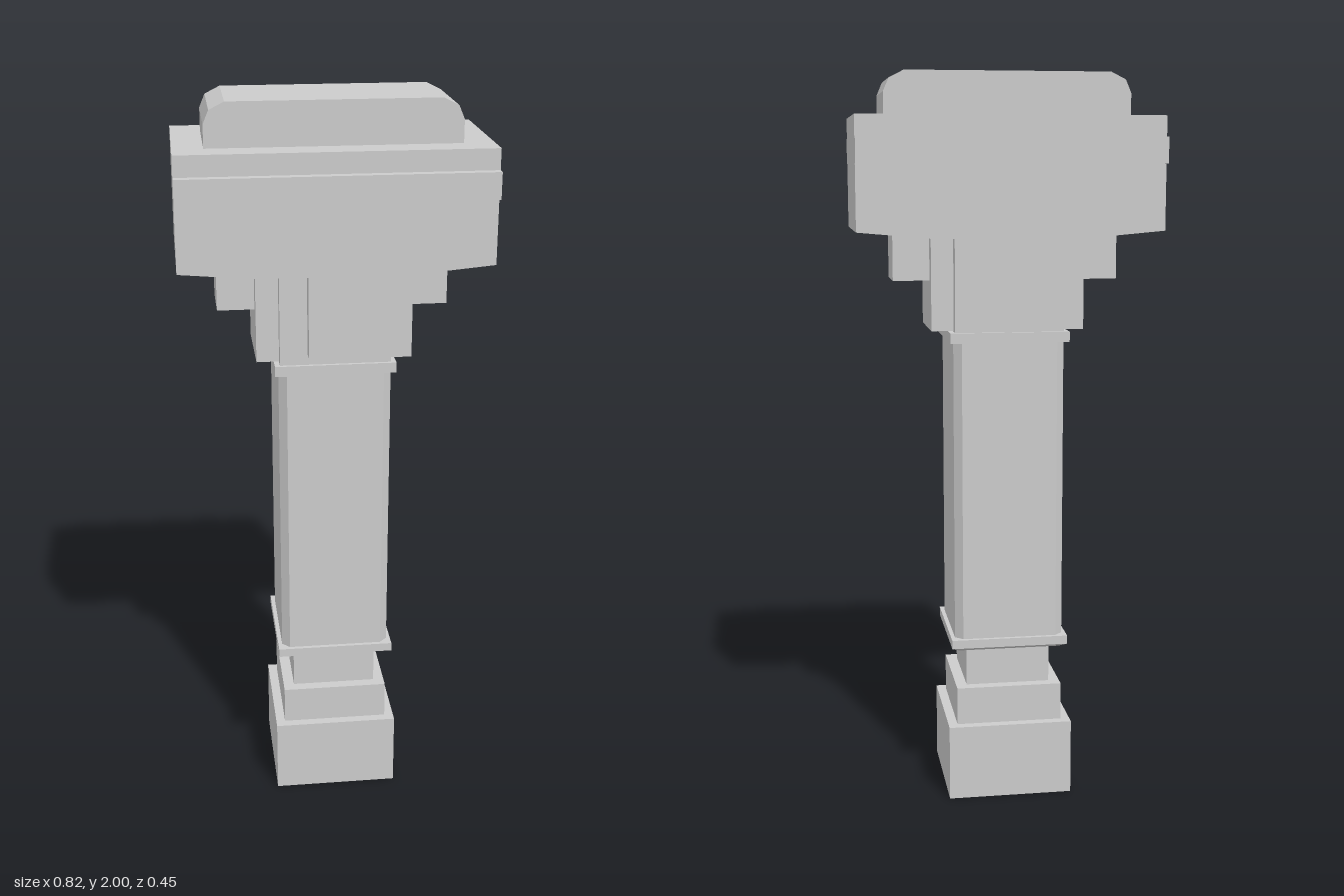
import * as THREE from 'three';

const material = new THREE.MeshStandardMaterial({ color: 0xcccccc, flatShading: true });

export function createModel() {
  const group = new THREE.Group();

  function add(name, geometry, x = 0, y = 0, z = 0) {
    const mesh = new THREE.Mesh(geometry, material);
    mesh.name = name;
    mesh.position.set(x, y, z);
    group.add(mesh);
    return mesh;
  }

  // Box given by its width, bottom, top and depth
  function block(name, w, y0, y1, d, x = 0, z = 0) {
    return add(name, new THREE.BoxGeometry(w, y1 - y0, d), x, (y0 + y1) / 2, z);
  }

  function extrude(points, depth) {
    const shape = new THREE.Shape(points.map(([x, y]) => new THREE.Vector2(x, y)));
    return new THREE.ExtrudeGeometry(shape, { depth, bevelEnabled: false });
  }

  // Right half of a profile, listed bottom to top, mirrored and extruded along z
  function mirroredProfile(name, half, depth) {
    const left = half.map(([x, y]) => [-x, y]).reverse();
    add(name, extrude([...half, ...left], depth), 0, 0, -depth / 2);
  }

  // Stepped foot
  block('base', 0.345, 0, 0.21, 0.345);
  block('baseStep', 0.294, 0.21, 0.315, 0.294);
  block('neck', 0.234, 0.315, 0.435, 0.234);

  // Lower collar with a tapered underside
  const taper = new THREE.CylinderGeometry(0.162 * Math.SQRT2, 0.14 * Math.SQRT2, 0.012, 4);
  taper.rotateY(Math.PI / 4);
  add('lowerCollarTaper', taper, 0, 0.43, 0);
  block('lowerCollar', 0.324, 0.436, 0.46, 0.324);

  // Square shaft with chamfered corners
  const a = 0.151, b = 0.13;
  const shaft = extrude([[a, -b], [a, b], [b, a], [-b, a], [-a, b], [-a, -b], [-b, -a], [b, -a]], 0.83);
  shaft.rotateX(-Math.PI / 2);
  add('shaft', shaft, 0, 0.46, 0);

  block('upperCollar', 0.324, 1.287, 1.315, 0.324);

  // Capital: core, side wings, brackets on both ends and a front panel
  block('capitalCore', 0.296, 1.315, 1.575, 0.306);
  for (const s of [1, -1]) {
    block(s > 0 ? 'leftWing' : 'rightWing', 0.08, 1.317, 1.575, 0.24, s * 0.168, 0.003);
    block(s > 0 ? 'leftBracket' : 'rightBracket', 0.12, 1.45, 1.58, 0.155, s * 0.247, 0.003);
  }
  block('frontPanel', 0.15, 1.345, 1.575, 0.06, 0, 0.16);

  // Head with a slightly sloping underside, and bands along front and back
  mirroredProfile('head', [[0.205, 1.567], [0.41, 1.585], [0.41, 1.885]], 0.407);
  for (const s of [1, -1]) {
    block(s > 0 ? 'frontBand' : 'backBand', 0.82, 1.76, 1.83, 0.04, 0, s * 0.207);
  }

  // Raised cap with rounded ends
  mirroredProfile('cap', [[0.33, 1.885], [0.33, 1.945], [0.315, 1.98], [0.275, 2]], 0.254);

  return group;
}
